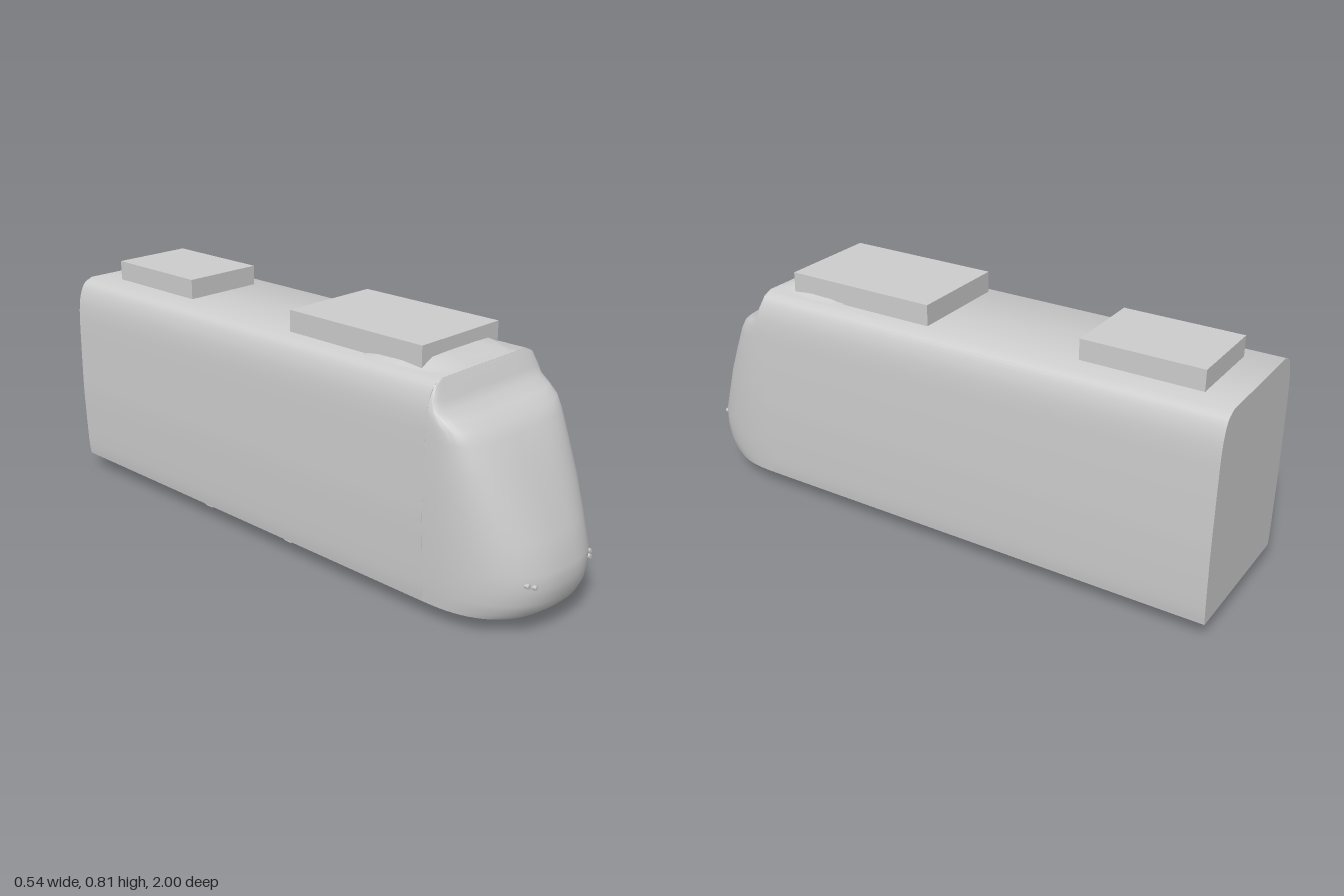
import * as THREE from 'three';
import { toCreasedNormals } from 'three/addons/utils/BufferGeometryUtils.js';

const grey = new THREE.MeshStandardMaterial({ color: 0xcccccc });
grey.name = 'light grey';

const ROOF = 0.745, SEAM = 0.66;

// Skin a grid of points; each row runs from +x to -x
function loft(rows, capBase) {
  const n = rows[0].length, pos = rows.flat(2), index = [];
  for (let j = 0; j < rows.length - 1; j++) {
    for (let i = 0; i < n - 1; i++) {
      const a = j * n + i, b = a + 1, d = a + n, c = d + 1;
      index.push(a, d, c, a, c, b);
    }
  }
  if (capBase) {
    const centre = pos.length / 3;
    pos.push(...capBase);
    for (let i = 0; i < n - 1; i++) index.push(centre, i, i + 1);
  }
  const g = new THREE.BufferGeometry();
  g.setAttribute('position', new THREE.Float32BufferAttribute(pos, 3));
  g.setIndex(index);
  return toCreasedNormals(g, 0.75);
}

// Point on the plan curve of the nose at angle t
function planPoint(w, f, n, t) {
  const c = Math.cos(t), s = Math.max(0, Math.sin(t));
  return [Math.sign(c) * w * Math.abs(c) ** (2 / n), SEAM + (f - SEAM) * s ** (2 / n)];
}

export function createModel() {
  const model = new THREE.Group();
  model.name = 'railcar';
  const add = (name, geometry, x = 0, y = 0, z = 0) => {
    const mesh = new THREE.Mesh(geometry, grey);
    mesh.name = name;
    mesh.position.set(x, y, z);
    model.add(mesh);
    return mesh;
  };

  // Main body: bulging section extruded along z
  const side = [[0.257, 0.06], [0.263, 0.12], [0.269, 0.3], [0.269, 0.4], [0.267, 0.55],
    [0.264, 0.63], [0.255, 0.685], [0.235, 0.727], [0.2, ROOF]].map(p => new THREE.Vector2(...p));
  const right = new THREE.SplineCurve(side).getPoints(32);
  const left = right.map(p => new THREE.Vector2(-p.x, p.y)).reverse();
  const body = new THREE.ExtrudeGeometry(new THREE.Shape([...right, ...left]),
    { depth: SEAM + 1, bevelEnabled: false });
  add('body', toCreasedNormals(body, 0.6), 0, 0, -1);

  // Nose: rows of height, half width, front z, plan squareness
  const noseRows = [
    [0.06, 0.257, 0.95, 2.5], [0.08, 0.259, 0.975, 2.5], [0.115, 0.262, 0.992, 2.5],
    [0.16, 0.264, 1.0, 2.5], [0.21, 0.266, 0.998, 2.5], [0.3, 0.268, 0.963, 2.6],
    [0.4, 0.269, 0.92, 2.8], [0.5, 0.268, 0.87, 3], [0.58, 0.266, 0.825, 3.3],
    [0.615, 0.265, 0.797, 3.5], [0.64, 0.263, 0.755, 3.6], [0.662, 0.26, 0.706, 4],
    [0.69, 0.253, 0.69, 4], [0.73, 0.232, 0.67, 4], [ROOF, 0.2, 0.661, 4]];
  const STEPS = 40;
  add('nose', loft(noseRows.map(([y, w, f, n]) =>
    Array.from({ length: STEPS + 1 }, (_, i) => {
      const [x, z] = planPoint(w, f, n, Math.PI * i / STEPS);
      return [x, y, z];
    })), [0, 0.06, SEAM]));

  // Roof fairing: rows of z, half width, height
  const fairingRows = [[0.66, 0.15, 0], [0.64, 0.168, 0.012], [0.58, 0.185, 0.029], [0.5, 0.2, 0.031],
    [0.42, 0.2, 0.026], [0.37, 0.2, 0.012], [0.35, 0.19, 0]];
  const arch = [[1, 0], [0.85, 0.5], [0.7, 0.93], [0.35, 1], [0, 1], [-0.35, 1], [-0.7, 0.93], [-0.85, 0.5], [-1, 0]];
  add('roofFairing', loft(fairingRows.map(([z, w, h]) =>
    arch.map(([u, v]) => [u * w, ROOF + h * v, z]))));

  // Roof equipment boxes
  add('frontRoofUnit', new THREE.BoxGeometry(0.36, 0.075, 0.54), 0, 0.7785, 0.3);
  add('rearRoofUnit', new THREE.BoxGeometry(0.29, 0.075, 0.4), 0, 0.7755, -0.69);

  for (const s of [1, -1]) {
    // Wheels, sunk halfway into the floor
    for (const z of [0.01, -0.395]) {
      const wheel = new THREE.CylinderGeometry(0.06, 0.06, 0.022, 14).rotateZ(Math.PI / 2);
      add('wheel', toCreasedNormals(wheel, 0.6), s * 0.17, 0.06, z);
    }
    // Paired headlights
    for (const [x, y, z] of [[0.157, 0.184, 0.961], [0.138, 0.177, 0.973]]) {
      const lamp = new THREE.CylinderGeometry(0.008, 0.008, 0.014, 6).rotateX(Math.PI / 2);
      add('headlight', lamp, s * x, y, z);
    }
  }
  return model;
}
